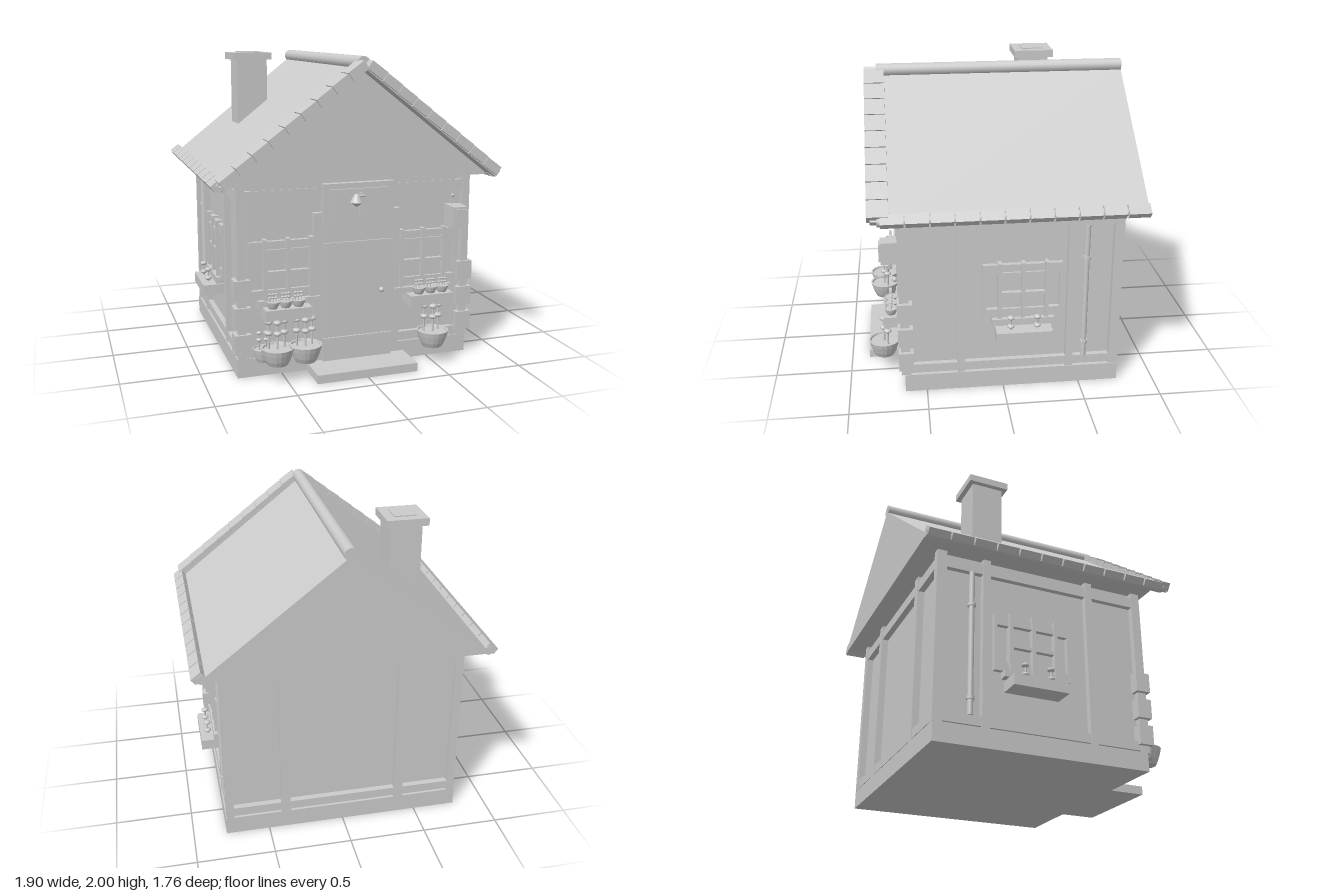
import * as THREE from 'three';

const mat = new THREE.MeshStandardMaterial({ color: 0xcccccc });
const flat = new THREE.MeshStandardMaterial({ color: 0xcccccc, flatShading: true });

function add(parent, name, geo, x = 0, y = 0, z = 0, material = mat) {
  const m = new THREE.Mesh(geo, material);
  m.name = name;
  m.position.set(x, y, z);
  parent.add(m);
  return m;
}

// Box given by its extents
function box(parent, name, x0, x1, y0, y1, z0, z1) {
  return add(parent, name, new THREE.BoxGeometry(x1 - x0, y1 - y0, z1 - z0),
    (x0 + x1) / 2, (y0 + y1) / 2, (z0 + z1) / 2);
}

function cyl(parent, name, r, y0, y1, x, z, r2 = r) {
  return add(parent, name, new THREE.CylinderGeometry(r2, r, y1 - y0, 12), x, (y0 + y1) / 2, z);
}

function group(parent, name, x = 0, y = 0, z = 0, ry = 0) {
  const g = new THREE.Group();
  g.name = name;
  g.position.set(x, y, z);
  g.rotation.y = ry;
  parent.add(g);
  return g;
}

// Stem with rounded caps at the given heights
function flower(parent, x, z, y0, heads, r) {
  cyl(parent, 'stem', r * 0.25, y0, heads[heads.length - 1], x, z);
  for (const y of heads) {
    const cap = add(parent, 'blossom', new THREE.SphereGeometry(r, 10, 6), x, y, z);
    cap.scale.y = 0.6;
  }
}

// Tapered bowl-like pot with a closed earth surface
function pot(parent, x, y, z, r, h) {
  const pts = [[0, 0], [0.62, 0], [0.78, 0.3], [0.92, 0.7], [1, 1], [0.9, 1], [0.86, 0.88], [0, 0.88]]
    .map(([a, b]) => new THREE.Vector2(a * r, b * h));
  add(parent, 'pot', new THREE.LatheGeometry(pts, 18), x, y, z, flat);
}

// Window built facing +z with the wall at z = 0
function windowUnit(parent, x, z, ry) {
  const g = group(parent, 'window', x, 0, z, ry);
  box(g, 'pane', -0.15, 0.15, 0.5, 0.86, -0.01, 0.012);
  for (const [a, b] of [[0.8, 0.87], [0.5, 0.56]]) box(g, 'shutterRail', -0.255, 0.255, a, b, -0.01, 0.03);
  for (const u of [-0.245, 0.245]) box(g, 'shutterStile', u - 0.01, u + 0.01, 0.5, 0.87, -0.01, 0.03);
  for (const u of [-0.15, 0, 0.15]) box(g, 'bar', u - 0.012, u + 0.012, 0.5, 0.885, 0, 0.05);
  for (const y of [0.67, 0.81]) box(g, 'crossBar', -0.15, 0.15, y - 0.01, y + 0.01, 0, 0.042);
  box(g, 'sill', -0.2, 0.2, 0.455, 0.5, -0.01, 0.06);
  return g;
}

export function createModel() {
  const house = new THREE.Group();
  house.name = 'cottage';

  // Foundation, walls and step
  box(house, 'foundation', -0.785, 0.785, 0, 0.12, -0.76, 0.64);
  box(house, 'walls', -0.74, 0.74, 0.1, 1.24, -0.715, 0.62);
  box(house, 'step', -0.335, 0.335, 0, 0.055, 0.63, 0.88);

  // Timber frame
  const frame = group(house, 'timberFrame');
  for (const s of [-1, 1]) {
    const x = s * 0.755;
    for (const [a, b] of [[0.6, 0.66], [0.25, 0.3], [-0.46, -0.41], [-0.76, -0.72]])
      box(frame, 'sidePost', x - 0.025, x + 0.025, 0.12, 1.23, a, b);
    for (const [a, b] of [[0.13, 0.19], [1.12, 1.19]])
      box(frame, 'sideBeam', x - 0.02, x + 0.02, a, b, -0.74, 0.62);
    box(frame, 'backPost', s * 0.385 - 0.03, s * 0.385 + 0.03, 0.12, 1.23, -0.76, -0.7);
    box(frame, 'backCorner', x - 0.025, x + 0.025, 0.12, 1.23, -0.762, -0.7);
    box(frame, 'doorPost', s * 0.255 - 0.035, s * 0.255 + 0.035, 0.12, 1.03, 0.6, 0.66);
    box(frame, 'frontPost', s * 0.7 - 0.02, s * 0.7 + 0.02, 0.12, 1.12, 0.6, 0.635);
  }
  for (const [a, b] of [[0.13, 0.19], [1.12, 1.19]]) {
    box(frame, 'backBeam', -0.76, 0.76, a, b, -0.755, -0.7);
    box(frame, 'frontBeam', -0.74, 0.74, a, b, 0.6, 0.65);
  }
  box(frame, 'upperBeam', -0.68, 0.68, 1.18, 1.23, 0.6, 0.645);

  // Corner stones
  for (const s of [-1, 1]) for (const y of [0.228, 0.402, 0.578])
    box(house, 'cornerStone', s * 0.753 - 0.053, s * 0.753 + 0.053, y - 0.063, y + 0.063, 0.58, 0.676);

  // Door, sign board and lamp
  const door = group(house, 'door');
  box(door, 'doorLeaf', -0.235, 0.235, 0.055, 0.95, 0.61, 0.67);
  for (const [a, b] of [[0.18, 0.212], [0.805, 0.838]]) box(door, 'doorBatten', -0.235, 0.235, a, b, 0.66, 0.682);
  add(door, 'knob', new THREE.SphereGeometry(0.018, 12, 8), 0.157, 0.505, 0.688);
  box(door, 'boardFrame', -0.235, 0.235, 0.95, 1.215, 0.61, 0.69);
  box(door, 'board', -0.198, 0.198, 0.985, 1.18, 0.66, 0.705);
  box(door, 'lampBar', -0.01, 0.01, 1.01, 1.155, 0.7, 0.735);
  const arm = cyl(door, 'lampArm', 0.008, -0.03, 0.03, -0.015, 0.74);
  arm.position.y = 1.14;
  arm.rotation.z = Math.PI / 2;
  cyl(door, 'lampShade', 0.042, 1.105, 1.155, -0.042, 0.755, 0.015);
  cyl(door, 'lampBulb', 0.01, 1.08, 1.105, -0.042, 0.755, 0.035);

  // Letter box
  const letter = group(house, 'letterBox');
  box(letter, 'case', 0.62, 0.718, 0.885, 1.03, 0.62, 0.765);
  box(letter, 'casePanel', 0.632, 0.706, 0.9, 1.015, 0.76, 0.775);
  box(letter, 'hanger', 0.663, 0.675, 1.03, 1.08, 0.62, 0.64);
  add(letter, 'hook', new THREE.SphereGeometry(0.012, 8, 6), 0.669, 1.085, 0.64);

  for (const s of [-1, 1]) {
    // Front windows with shelf and small pots
    const f = windowUnit(house, s * 0.455, 0.62, 0);
    f.name = 'frontWindow';
    box(house, 'windowBox', s * 0.482 - 0.148, s * 0.482 + 0.148, 0.39, 0.463, 0.62, 0.765);
    for (const d of [-0.082, 0, 0.082]) {
      const px = s * 0.49 + d;
      pot(house, px, 0.463, 0.715, 0.043, 0.043);
      for (const e of [-0.02, 0, 0.02]) flower(house, px + e, 0.715, 0.49, [0.53, 0.552], 0.011);
    }

    // Side windows with planters
    const w = windowUnit(house, s * 0.74, -0.125, s * Math.PI / 2);
    w.name = 'sideWindow';
    box(w, 'planter', -0.18, 0.18, 0.375, 0.445, 0, 0.145);
    for (const u of [-0.085, 0.085]) flower(w, u, 0.095, 0.44, [0.47, 0.53], 0.024);

    // Downpipes
    cyl(house, 'downpipe', 0.018, 0.19, 1.12, s * 0.768, -0.53);
    for (const y of [0.295, 0.895]) cyl(house, 'pipeClamp', 0.026, y - 0.01, y + 0.01, s * 0.768, -0.53);
  }

  // Large flower pots beside the door
  for (const x of [-0.56, -0.38, 0.485]) {
    pot(house, x, 0.12, 0.77, 0.104, 0.108);
    for (const d of [-0.05, 0, 0.05]) flower(house, x + d, 0.77 - Math.abs(d) * 0.5, 0.2, [0.315, 0.385], 0.026);
  }
  pot(house, -0.64, 0.13, 0.72, 0.065, 0.085);
  for (const d of [-0.025, 0.02]) flower(house, -0.64 + d, 0.72, 0.19, [0.27, 0.315], 0.018);

  // Roof body as a solid gable
  const roof = group(house, 'roof');
  const gable = new THREE.Shape([[-0.915, 1.225], [0.915, 1.225], [0, 1.945]].map(p => new THREE.Vector2(...p)));
  add(roof, 'gableRoof', new THREE.ExtrudeGeometry(gable, { depth: 1.58, bevelEnabled: false }), 0, 0, -0.88);
  const ridge = add(roof, 'ridgeRoll', new THREE.CylinderGeometry(0.042, 0.042, 1.63, 16), 0, 1.953, -0.065);
  ridge.rotation.x = Math.PI / 2;

  const slope = Math.atan2(0.705, 0.905);
  for (const s of [-1, 1]) {
    // Verge tiles down the front edge
    for (let i = 0; i < 9; i++) {
      const t = (i + 0.5) / 9;
      const tile = add(roof, 'vergeTile', new THREE.BoxGeometry(0.122, 0.058, 0.13),
        s * (0.012 + 0.885 * t), 1.95 - 0.69 * t, 0.765);
      tile.rotation.z = -s * (slope - 0.03);
    }
    const batten = add(roof, 'vergeBatten', new THREE.BoxGeometry(1.13, 0.035, 0.11), s * 0.45, 1.585, 0.755);
    batten.rotation.z = -s * slope;

    // Eave tiles and gutter
    for (let i = 0; i < 11; i++) {
      const tile = add(roof, 'eaveTile', new THREE.BoxGeometry(0.075, 0.045, 0.138), s * 0.907, 1.256, -0.807 + i * 0.149);
      tile.rotation.z = -s * slope;
    }
    const gutter = add(roof, 'gutter', new THREE.CylinderGeometry(0.03, 0.03, 1.65, 12), s * 0.89, 1.246, -0.055);
    gutter.rotation.x = Math.PI / 2;
  }

  // Chimney
  const chimney = group(house, 'chimney');
  box(chimney, 'stack', -0.56, -0.35, 1.4, 1.95, -0.45, -0.24);
  box(chimney, 'cap', -0.593, -0.322, 1.945, 1.993, -0.482, -0.21);
  box(chimney, 'flue', -0.53, -0.385, 1.99, 2, -0.42, -0.27);

  return house;
}
